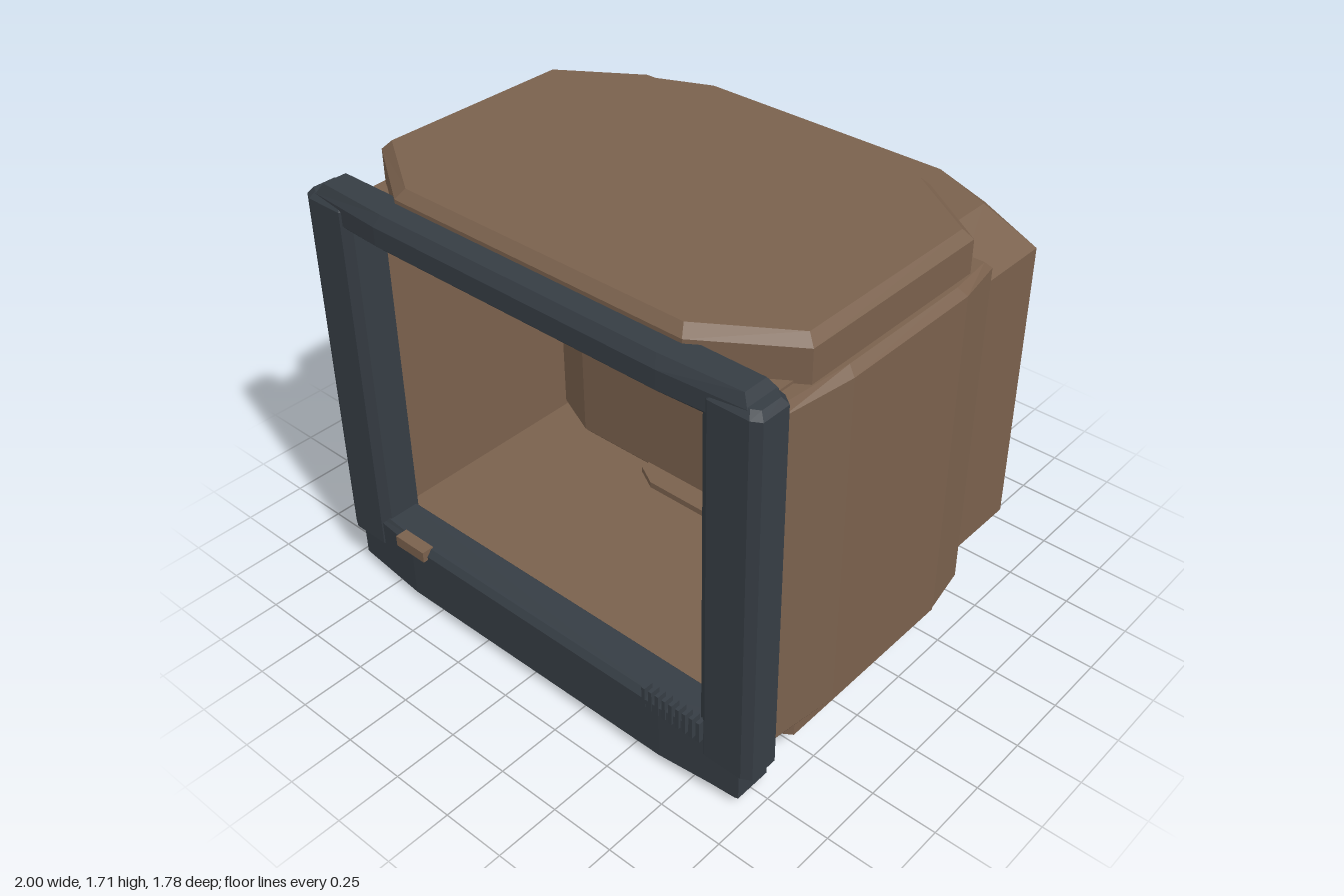
import * as THREE from 'three';

const brown = new THREE.MeshStandardMaterial({ color: 0x7a614d });
brown.name = 'brown casing';
const dark = new THREE.MeshStandardMaterial({ color: 0x363d44 });
dark.name = 'dark bezel';

// Stack of convex plan outlines [y, [[x, z], ...]] with flat faces and end caps
function loft(levels) {
  const pos = [];
  const ccw = (pts) => {
    let area = 0;
    pts.forEach(([x, z], i) => {
      const [u, v] = pts[(i + 1) % pts.length];
      area += x * v - u * z;
    });
    return area > 0 ? [...pts].reverse() : pts;
  };
  const rings = levels.map(([y, pts]) => ccw(pts).map(([x, z]) => [x, y, z]));
  const tri = (a, b, c) => pos.push(...a, ...b, ...c);
  const n = rings[0].length;
  for (let k = 0; k < rings.length - 1; k++) {
    for (let i = 0; i < n; i++) {
      const j = (i + 1) % n, lo = rings[k], hi = rings[k + 1];
      tri(lo[i], lo[j], hi[j]);
      tri(lo[i], hi[j], hi[i]);
    }
  }
  const top = rings[rings.length - 1], bottom = rings[0];
  for (let i = 1; i < n - 1; i++) {
    tri(top[0], top[i], top[i + 1]);
    tri(bottom[0], bottom[i + 1], bottom[i]);
  }
  const g = new THREE.BufferGeometry();
  g.setAttribute('position', new THREE.Float32BufferAttribute(pos, 3));
  g.computeVertexNormals();
  return g;
}

// Shrink an outline by d on every side of its bounding box
function inset(pts, d) {
  const fit = (axis) => {
    const v = pts.map((p) => p[axis]);
    const lo = Math.min(...v), hi = Math.max(...v);
    const c = (lo + hi) / 2, h = (hi - lo) / 2;
    return (t) => c + (t - c) * (h - d) / h;
  };
  const fx = fit(0), fz = fit(1);
  return pts.map(([x, z]) => [fx(x), fz(z)]);
}

const bevelled = (pts, levels) => loft(levels.map(([y, d]) => [y, inset(pts, d)]));
const flip = (pts) => pts.map(([x, z]) => [-x, z]);
const symmetric = (half) => [...half, ...flip(half).reverse()];

export function createModel() {
  const group = new THREE.Group();
  const add = (name, geometry, material, x = 0, y = 0, z = 0) => {
    const mesh = new THREE.Mesh(geometry, material);
    mesh.name = name;
    mesh.position.set(x, y, z);
    group.add(mesh);
  };
  const box = (w, h, d) => new THREE.BoxGeometry(w, h, d);

  // Octagonal top and bottom covers
  const cover = symmetric([[0.63, 0.755], [0.945, 0.545], [0.945, -0.28], [0.635, -0.49]]);
  add('topCover', bevelled(cover, [[1.53, 0], [1.675, 0], [1.71, 0.033]]), brown);
  add('bottomCover', bevelled(cover, [[0.065, 0.033], [0.1, 0], [0.2, 0]]), brown);

  // Chamfered rear shell, closed towards the cavity
  const full = symmetric([[0.62, -0.06], [0.93, -0.2], [0.93, -0.73], [0.62, -0.89]]);
  const small = symmetric([[0.52, -0.2], [0.77, -0.3], [0.77, -0.62], [0.52, -0.73]]);
  add('rearShell', loft([[0.125, small], [0.29, full], [1.44, full], [1.6, small]]), brown);

  // Hollow body behind the bezel
  const rect = (P, w, y0, y1) => new P([[-w, y0], [w, y0], [w, y1], [-w, y1]]
    .map(([x, y]) => new THREE.Vector2(x, y)));
  const bodyShape = rect(THREE.Shape, 0.9, 0.17, 1.56);
  bodyShape.holes.push(rect(THREE.Path, 0.82, 0.27, 1.53));
  add('hollowBody', new THREE.ExtrudeGeometry(bodyShape, { depth: 1.0, bevelEnabled: false }),
    brown, 0, 0, -0.3);

  // Low plate on the cavity floor
  const plate = [[-0.27, -0.1], [-0.27, -0.02], [-0.18, 0.03], [0.11, 0.03], [0.2, -0.02], [0.2, -0.1]];
  add('floorPlate', bevelled(plate, [[0.26, 0], [0.295, 0]]), brown);

  // Side panels and bezel posts, mirrored
  const panel = [[0.85, -0.4], [0.955, -0.4], [0.992, -0.2], [0.992, 0.4], [0.955, 0.7], [0.85, 0.7]];
  const post = [[0.775, 0.7], [0.96, 0.69], [1, 0.72], [1, 0.835], [0.965, 0.855], [0.81, 0.855], [0.775, 0.83]];
  for (const side of ['left', 'right']) {
    const turn = (pts) => (side === 'left' ? pts : flip(pts));
    add(side + 'SidePanel',
      bevelled(turn(panel), [[0.165, 0.03], [0.195, 0], [1.52, 0], [1.55, 0.03]]), brown);
    add(side + 'BezelPost',
      bevelled(turn(post), [[0.13, 0.03], [0.16, 0], [1.6, 0], [1.625, 0.02]]), dark);
  }

  // Bowed bezel bars
  const lowerBar = symmetric([[0.62, 0.87], [0.945, 0.838], [0.945, 0.69], [0.62, 0.69]]);
  const upperBar = symmetric([[0.62, 0.862], [0.945, 0.84], [0.945, 0.7], [0.62, 0.7]]);
  add('lowerBezelBar', bevelled(lowerBar, [[0, 0.03], [0.035, 0], [0.26, 0], [0.285, 0.02]]), dark);
  add('upperBezelBar', bevelled(upperBar, [[1.53, 0.02], [1.55, 0], [1.62, 0], [1.66, 0.025]]), dark);

  // Front button and vent ribs
  add('frontButton', box(0.15, 0.045, 0.05), brown, -0.605, 0.268, 0.865);
  for (let i = 0; i < 9; i++) {
    add('ventRib', box(0.015, 0.085, 0.04), dark, 0.555 + i * 0.03, 0.268, 0.852);
  }

  // Feet
  const foot = [[-0.06, 0], [0.06, 0], [0.06, 0.17], [-0.06, 0.17]];
  for (const x of [-0.21, 0.21]) {
    add('foot', bevelled(foot, [[0.033, 0.015], [0.055, 0], [0.075, 0]]), brown, x, 0, 0);
  }
  return group;
}
